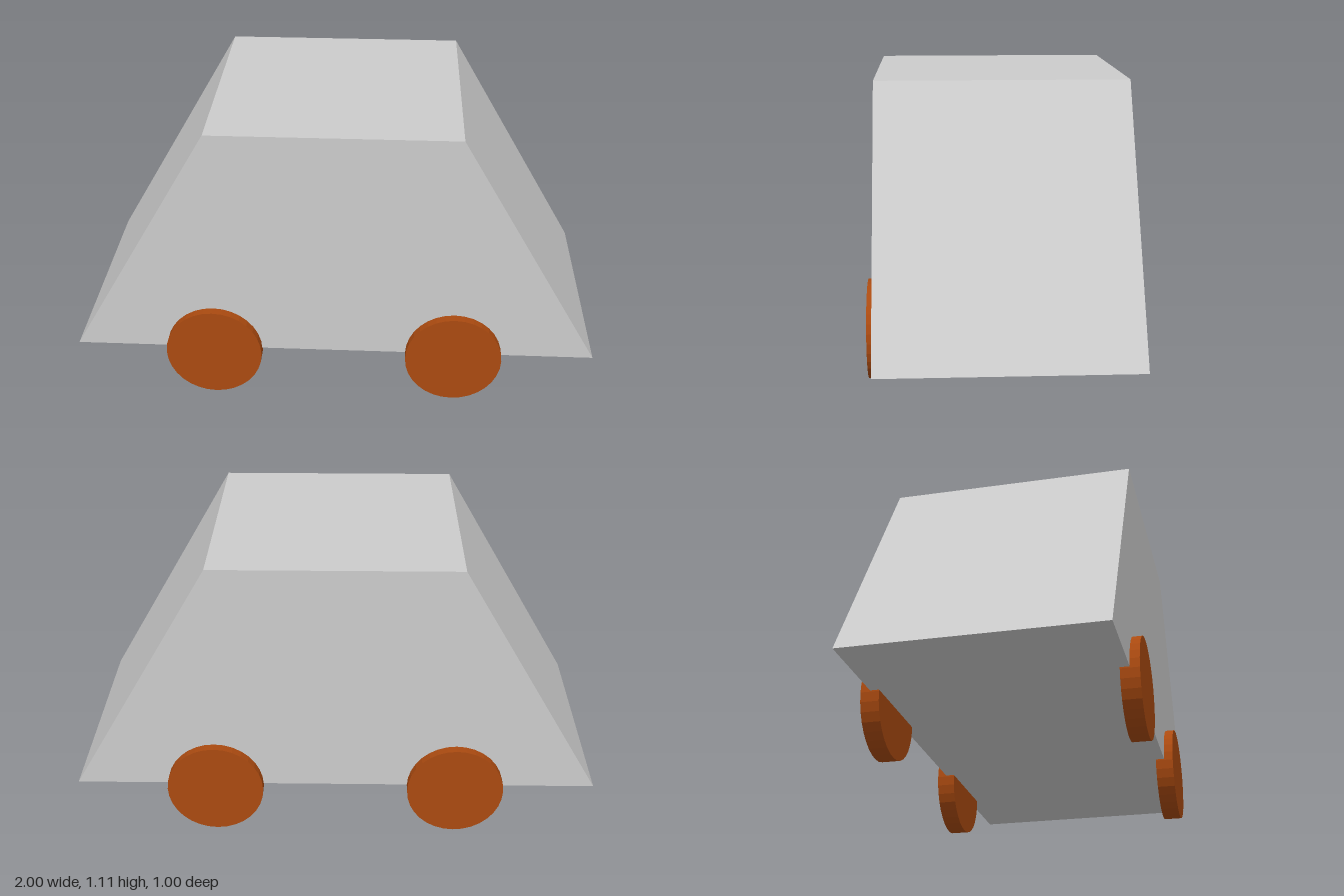
import * as THREE from 'three';

export function createModel() {
  const model = new THREE.Group();
  const bodyMaterial = new THREE.MeshStandardMaterial({ color: 0xcccccc, flatShading: true });
  const wheelMaterial = new THREE.MeshStandardMaterial({ color: 0xaa4a10, flatShading: true });

  // Body: trapezoid side profile extruded across the width
  const bottom = 0.19, top = 1.11, halfWidth = 0.463;
  const profile = new THREE.Shape([
    new THREE.Vector2(-1, bottom),
    new THREE.Vector2(1, bottom),
    new THREE.Vector2(0.462, top),
    new THREE.Vector2(-0.462, top),
  ]);
  const bodyGeometry = new THREE.ExtrudeGeometry(profile, { depth: 2 * halfWidth, bevelEnabled: false });
  bodyGeometry.translate(0, 0, -halfWidth);
  const body = new THREE.Mesh(bodyGeometry, bodyMaterial);
  body.name = 'body';
  model.add(body);

  // Four disc wheels, partly sunk into the body sides
  const radius = 0.185, thickness = 0.069;
  const wheelGeometry = new THREE.CylinderGeometry(radius, radius, thickness, 32).rotateX(Math.PI / 2);
  for (const [xName, xSide] of [['Left', 1], ['Right', -1]]) {
    for (const [zName, zSide] of [['front', 1], ['back', -1]]) {
      const wheel = new THREE.Mesh(wheelGeometry, wheelMaterial);
      wheel.name = `${zName}${xName}Wheel`;
      wheel.position.set(xSide * 0.463, radius, zSide * 0.4635);
      model.add(wheel);
    }
  }
  return model;
}
